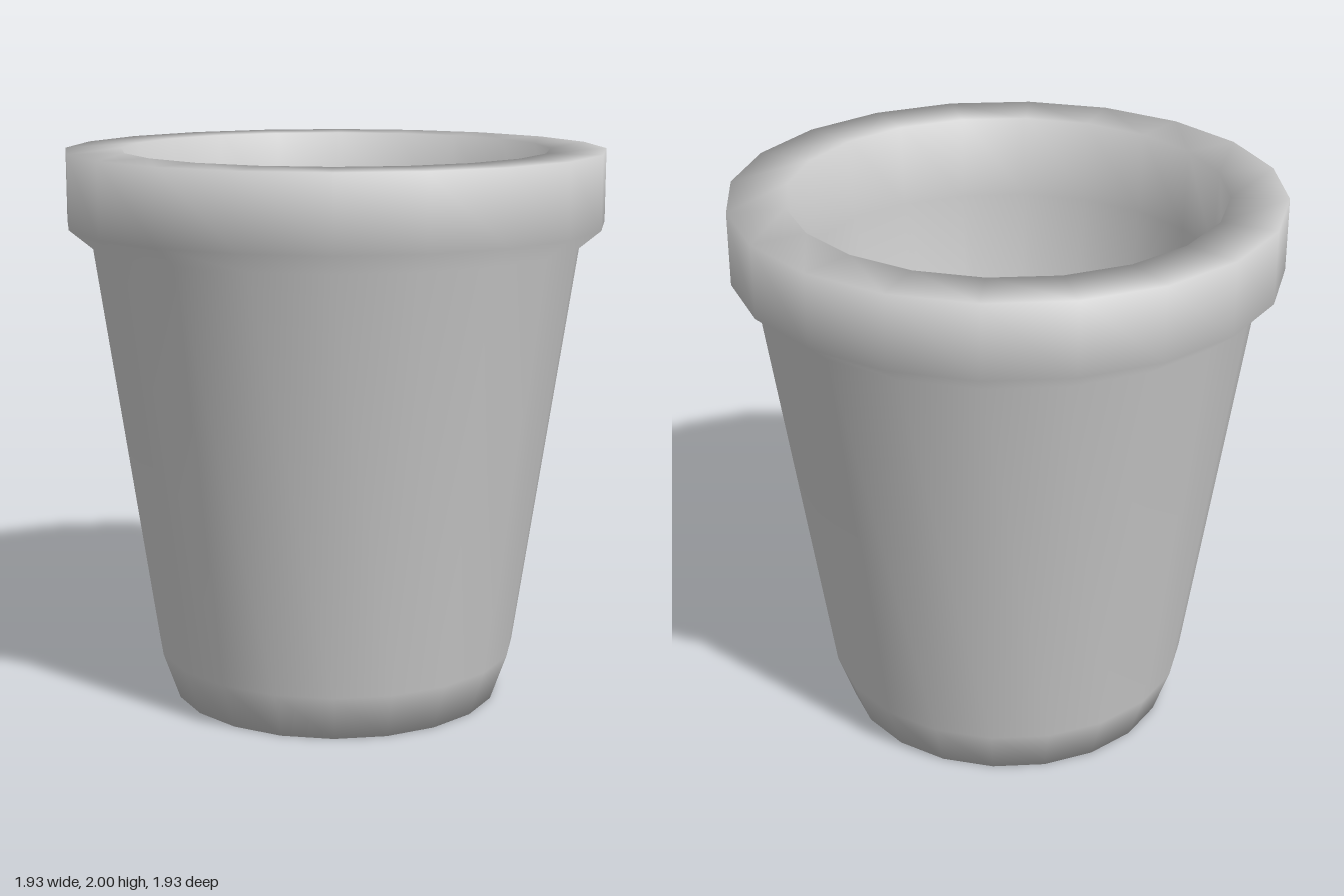
import * as THREE from 'three';

export function createModel() {
  const group = new THREE.Group();
  const clay = new THREE.MeshStandardMaterial({ color: 0xcccccc });
  clay.name = 'paleGrey';

  // One closed cross-section: underside, tapered wall, thick rim, hollow inside
  const profile = [
    [0, 0], [0.6, 0], [0.66, 0.17], [0.88, 1.67], // base and outer wall
    [0.965, 1.74], [0.965, 2], [0.765, 2],        // rim
    [0.755, 1.7], [0.56, 0.17], [0, 0.17],        // inner wall and floor
  ].map(([r, y]) => new THREE.Vector2(r, y));

  const pot = new THREE.Mesh(new THREE.LatheGeometry(profile, 20), clay);
  pot.name = 'pot';
  group.add(pot);
  return group;
}
